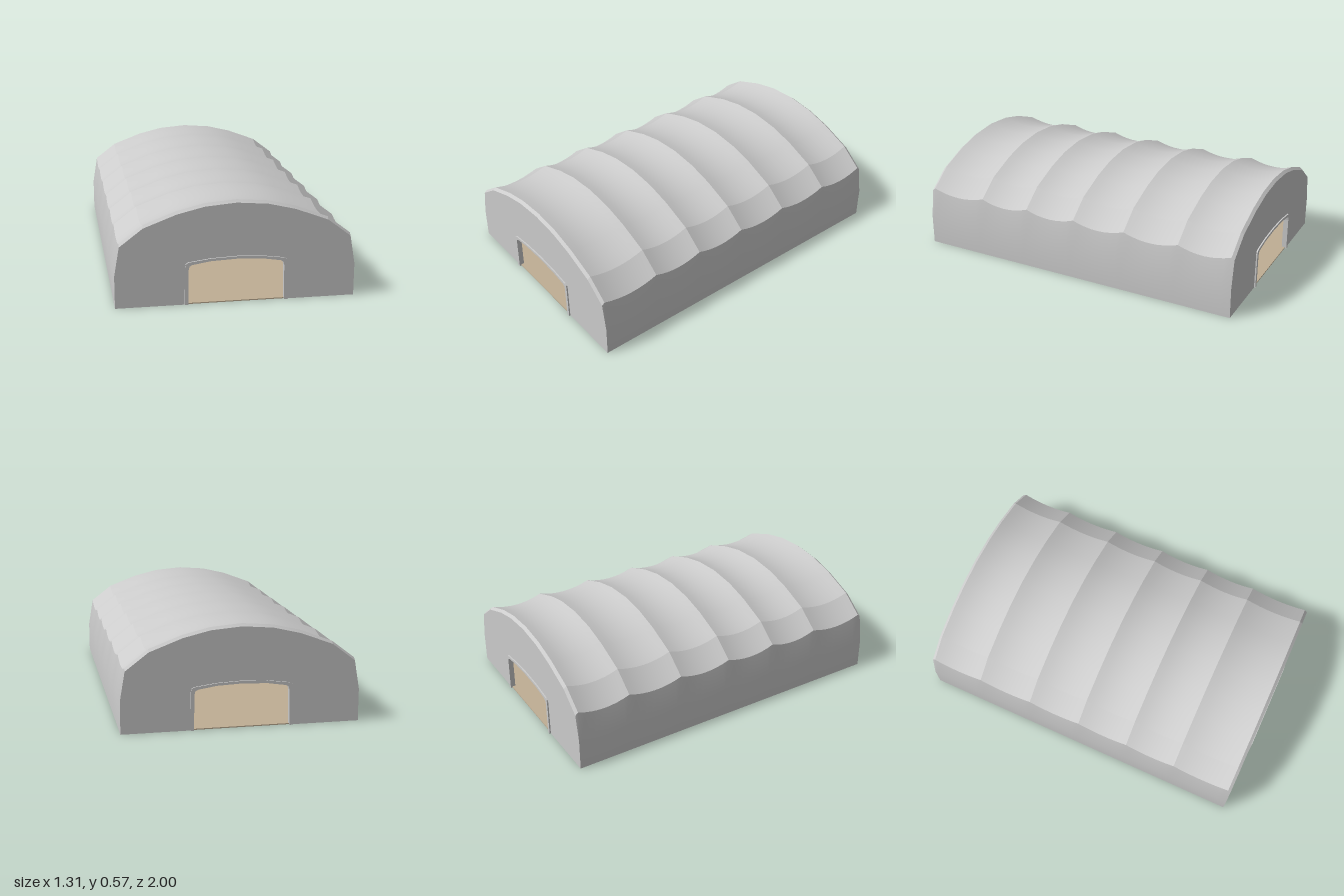
import * as THREE from 'three';
import { toCreasedNormals } from 'three/addons/utils/BufferGeometryUtils.js';

const half = [[0.655, 0], [0.655, 0.18], [0.627, 0.355], [0.5, 0.452], [0.32, 0.52], [0.17, 0.556], [0, 0.57]];
const mirror = (pts) => [...pts, ...pts.slice(0, -1).reverse().map(([x, y]) => [-x, y])];
const profile = mirror(half);
const ribZ = [-0.975, -0.66, -0.325, 0, 0.315, 0.625, 0.975];
const endZ = 0.992;

const fabric = new THREE.MeshStandardMaterial({ color: 0xcccccc, side: THREE.DoubleSide });
const frameMat = new THREE.MeshStandardMaterial({ color: 0x444444 });
const floorMat = new THREE.MeshStandardMaterial({ color: 0xbfae94 });

function add(parent, name, geometry, material) {
  const mesh = new THREE.Mesh(geometry, material);
  mesh.name = name;
  parent.add(mesh);
  return mesh;
}

// Fabric skin: the arch profile swept along z, sagging between the ribs
function skinGeometry() {
  const stations = [[-endZ, 0.014]];
  ribZ.forEach((z, i) => {
    stations.push([z, 0]);
    if (i === ribZ.length - 1) return;
    for (let k = 1; k < 8; k++) {
      const t = k / 8;
      stations.push([z + (ribZ[i + 1] - z) * t, 0.03 * 4 * t * (1 - t)]);
    }
  });
  stations.push([endZ, 0.014]);
  const n = profile.length, pos = [], index = [];
  for (const [z, sag] of stations) for (const [x, y] of profile) pos.push(x, y > 0.2 ? y - sag : y, z);
  for (let s = 0; s < stations.length - 1; s++) {
    for (let i = 0; i < n - 1; i++) {
      const a = s * n + i, b = a + 1, c = a + n, d = c + 1;
      index.push(a, b, c, b, d, c);
    }
  }
  const g = new THREE.BufferGeometry();
  g.setAttribute('position', new THREE.Float32BufferAttribute(pos, 3));
  g.setIndex(index);
  return toCreasedNormals(g, 0.22);
}

// Doorway outline with a gently arched head
function doorOutline(w, h) {
  return mirror([[w, 0], [w - 0.003, h - 0.05], [w - 0.007, h - 0.031], [w - 0.022, h - 0.022],
    [0.14, h - 0.006], [0, h]]);
}

const toShape = (pts) => new THREE.Shape(pts.map(([x, y]) => new THREE.Vector2(x, y)));

// Square bar between two points
function bar(parent, name, a, b, size) {
  const from = new THREE.Vector3(...a), to = new THREE.Vector3(...b);
  const mesh = add(parent, name, new THREE.BoxGeometry(size, size, from.distanceTo(to) + size * 0.5), frameMat);
  mesh.position.copy(from).lerp(to, 0.5);
  mesh.lookAt(to);
}

export function createModel() {
  const model = new THREE.Group();
  model.name = 'archedShelter';
  add(model, 'fabricSkin', skinGeometry(), fabric);

  // End walls and door trims, the same at front and back
  const wallTop = profile.map(([x, y]) => [x, y > 0.2 ? y - 0.014 : y]);
  const outer = doorOutline(0.282, 0.261), inner = doorOutline(0.263, 0.247);
  for (const side of [1, -1]) {
    const end = new THREE.Group();
    end.name = side > 0 ? 'frontEnd' : 'backEnd';
    add(end, 'endWall', new THREE.ShapeGeometry(toShape([...wallTop, ...[...inner].reverse()])), fabric)
      .position.z = endZ;
    const trim = new THREE.ExtrudeGeometry(toShape([...outer, ...[...inner].reverse()]),
      { depth: 0.03, bevelEnabled: false });
    add(end, 'doorTrim', trim, fabric).position.z = 0.97;
    if (side < 0) end.rotation.y = Math.PI;
    model.add(end);
  }

  // Ground sheet
  add(model, 'floor', new THREE.BoxGeometry(1.305, 0.006, 2 * endZ - 0.005), floorMat).position.y = 0.004;

  // Frame: arched ribs, footplates, purlins and side bracing
  const frame = new THREE.Group();
  frame.name = 'frame';
  model.add(frame);
  const inset = profile.map(([x, y]) => [x * 0.965, y > 0.2 ? y - 0.022 : y + 0.008]);
  const chord = profile.map(([x, y]) => [x * 0.965, y > 0.2 ? y - 0.05 : y + 0.008]);
  ribZ.forEach((z, r) => {
    for (let i = 0; i < inset.length - 1; i++) bar(frame, 'rib', [...inset[i], z], [...inset[i + 1], z], 0.018);
    for (const s of [1, -1]) {
      add(frame, 'footplate', new THREE.BoxGeometry(0.04, 0.012, 0.03), frameMat).position.set(s * 0.62, 0.006, z);
    }
    const next = ribZ[r + 1];
    if (next === undefined) return;
    for (const i of [2, 4, 6, 8, 10]) bar(frame, 'purlin', [...chord[i], z], [...chord[i], next], 0.014);
    // Cross braces in the end bays
    if (r === 0 || r === ribZ.length - 2) {
      for (const [a, b] of [[0, 2], [2, 4], [10, 8], [12, 10]]) {
        bar(frame, 'brace', [...chord[a], z], [...chord[b], next], 0.01);
        bar(frame, 'brace', [...chord[b], z], [...chord[a], next], 0.01);
      }
    }
  });
  return model;
}
